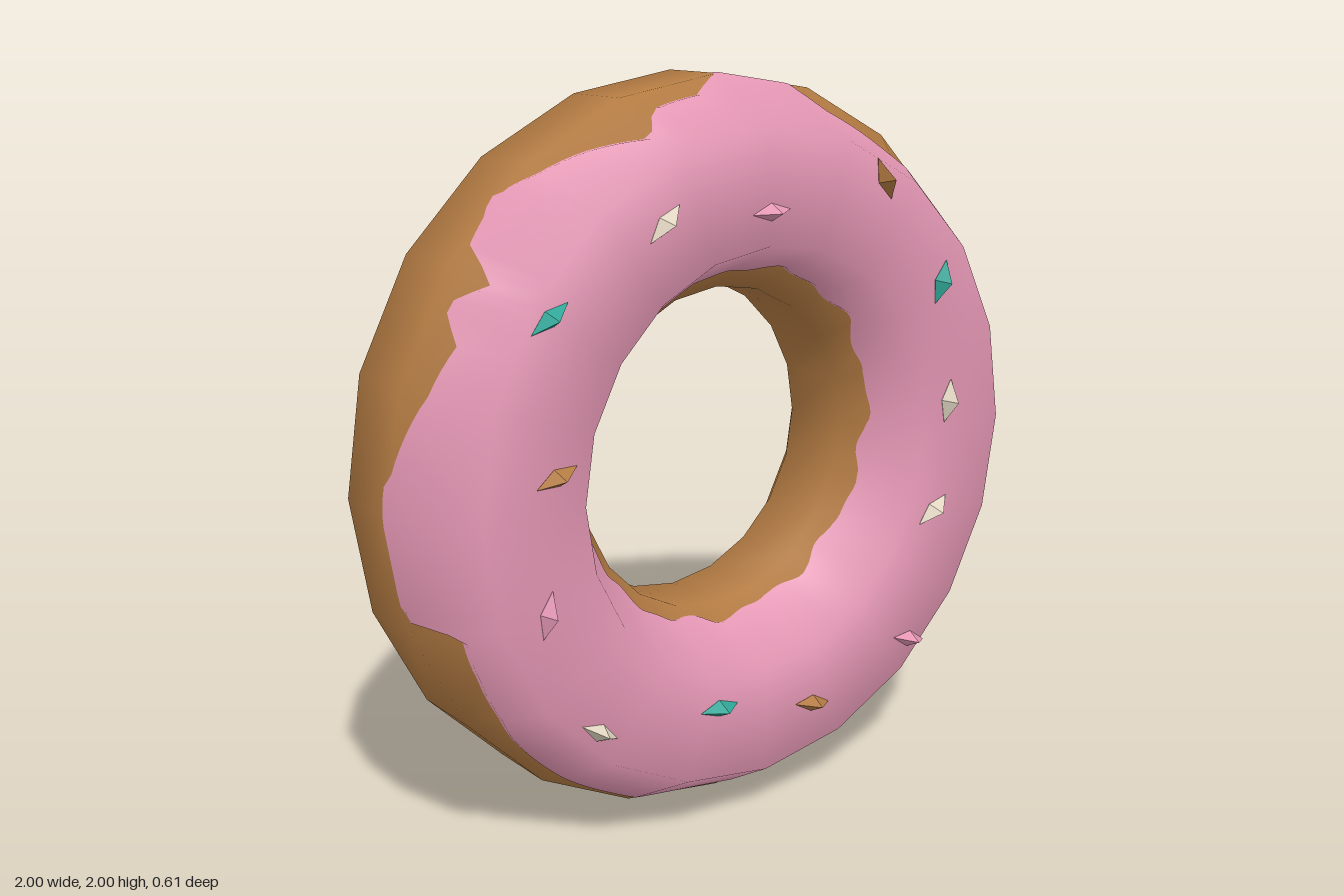
import * as THREE from 'three';

const paint = (name, color) => {
  const m = new THREE.MeshStandardMaterial({ color });
  m.name = name;
  return m;
};

const SEGMENTS = 20; // the ring is a coarse 20-sided polygon
const STEP = (Math.PI * 2) / SEGMENTS;

// Pulls a radius in so that in-between angles lie on the straight polygon sides
const polygonScale = (a) => {
  const local = a - Math.floor(a / STEP + 1e-6) * STEP;
  return Math.cos(STEP / 2) / Math.cos(local - STEP / 2);
};

// Sweeps a cross-section round the ring; section(row, angle) gives radius, z and normal direction
function sweepRing(rows, steps, section) {
  const pos = [], nor = [], index = [];
  for (let j = 0; j < rows; j++) {
    for (let i = 0; i <= steps; i++) {
      const a = (i / steps) * Math.PI * 2;
      const { r, z, n } = section(j, a);
      const R = r * polygonScale(a);
      pos.push(R * Math.cos(a), R * Math.sin(a), z);
      nor.push(Math.cos(n) * Math.cos(a), Math.cos(n) * Math.sin(a), Math.sin(n));
      if (j < rows - 1 && i < steps) {
        const p = j * (steps + 1) + i, q = p + steps + 1;
        index.push(p, p + 1, q, p + 1, q + 1, q);
      }
    }
  }
  const g = new THREE.BufferGeometry();
  g.setAttribute('position', new THREE.Float32BufferAttribute(pos, 3));
  g.setAttribute('normal', new THREE.Float32BufferAttribute(nor, 3));
  g.setIndex(index);
  return g;
}

// Eight-sided dough section: radius, z
const DOUGH = [
  [0.997, 0.04], [0.855, 0.225], [0.585, 0.225], [0.445, 0.04],
  [0.445, -0.16], [0.58, -0.307], [0.865, -0.307], [0.997, -0.16],
];

// Ragged outer rim of the icing: angle in degrees, radius
const RIM = [
  [0, 0.93], [12, 0.94], [22, 0.97], [33, 1], [40, 0.99], [46, 0.98], [51, 0.9], [63, 0.93],
  [73, 0.94], [75, 0.99], [90, 1], [96, 0.955], [105, 0.953], [109, 0.91], [118, 0.945],
  [131, 0.99], [141, 0.98], [143, 0.92], [149, 0.97], [154, 0.93], [164, 0.96], [179, 1],
  [196, 0.99], [199, 0.92], [208, 0.926], [222, 0.95], [231, 0.96], [246, 0.975], [253, 0.985],
  [264, 0.955], [275, 0.963], [282, 0.98], [292, 0.99], [300, 0.99], [302, 0.94], [307, 0.91],
  [314, 0.965], [318, 0.93], [326, 0.97], [335, 0.94], [350, 0.99], [353, 0.92], [360, 0.93],
];

function rimRadius(a) {
  const d = THREE.MathUtils.radToDeg(a);
  const k = Math.max(1, RIM.findIndex(([x]) => x >= d - 1e-6));
  const [d0, r0] = RIM[k - 1], [d1, r1] = RIM[k];
  return r0 + ((r1 - r0) * (d - d0)) / (d1 - d0);
}

const holeRadius = (a) =>
  0.489 + 0.018 * Math.sin(a) + 0.006 * Math.sin(a * 11) + 0.005 * Math.sin(a * 19 + 1);

// Icing: tucked edge, outer rim, flat front, hole rim, tucked edge
function icingSection(row, a) {
  const rad = THREE.MathUtils.degToRad;
  if (row === 2) return { r: 0.867, z: 0.26, n: rad(67.5) };
  if (row === 3) return { r: 0.578, z: 0.26, n: rad(112.5) };
  const outer = row < 2;
  const edge = (outer ? rimRadius(a) : holeRadius(a)) / polygonScale(a);
  const r = THREE.MathUtils.clamp(edge, 0.447, 1);
  const t = outer ? (r - 0.867) / 0.133 : (0.578 - r) / 0.131;
  const tuck = row === 0 || row === 5 ? 0.05 : 0;
  return {
    r: outer ? r - tuck * 0.1 : r + tuck * 0.1,
    z: 0.26 - 0.22 * t - tuck,
    n: outer ? rad(67.5 - 45 * t) : rad(112.5 + 45 * t),
  };
}

export function createModel() {
  const dough = paint('dough brown', 0xb27a42);
  const icing = paint('icing pink', 0xe396b3);
  const cream = paint('cream', 0xe0d5c0);
  const teal = paint('teal', 0x2fa596);

  const model = new THREE.Group();
  model.name = 'doughnut';
  const ring = new THREE.Group();
  ring.name = 'ring';
  ring.position.y = 1;
  model.add(ring);

  const add = (name, geometry, material) => {
    const mesh = new THREE.Mesh(geometry, material);
    mesh.name = name;
    ring.add(mesh);
    return mesh;
  };

  add('doughRing', sweepRing(9, SEGMENTS, (j) => {
    const [r, z] = DOUGH[j % 8];
    return { r, z, n: ((j + 0.5) * Math.PI) / 4 };
  }), dough);

  add('icing', sweepRing(6, SEGMENTS * 9, icingSection), icing);

  // Sprinkles: x, y, turn in degrees, colour
  const sprinkles = [
    [-0.335, 0.665, 45, cream], [0, 0.665, 3, icing], [0.39, 0.72, -65, dough],
    [0.615, 0.42, 72, teal], [0.66, 0.075, 80, cream], [0.615, -0.24, 35, cream],
    [0.535, -0.615, -15, icing], [0.165, -0.715, -10, dough], [-0.165, -0.64, 0, teal],
    [-0.55, -0.6, -30, cream], [-0.695, -0.25, 76, icing], [-0.66, 0.09, 20, dough],
    [-0.67, 0.475, 33, teal],
  ];
  const gem = new THREE.OctahedronGeometry(1).scale(0.062, 0.023, 0.044);
  for (const [x, y, turn, material] of sprinkles) {
    const s = add('sprinkle', gem, material);
    s.position.set(x, y, 0.262);
    s.rotation.z = THREE.MathUtils.degToRad(turn);
  }
  return model;
}
